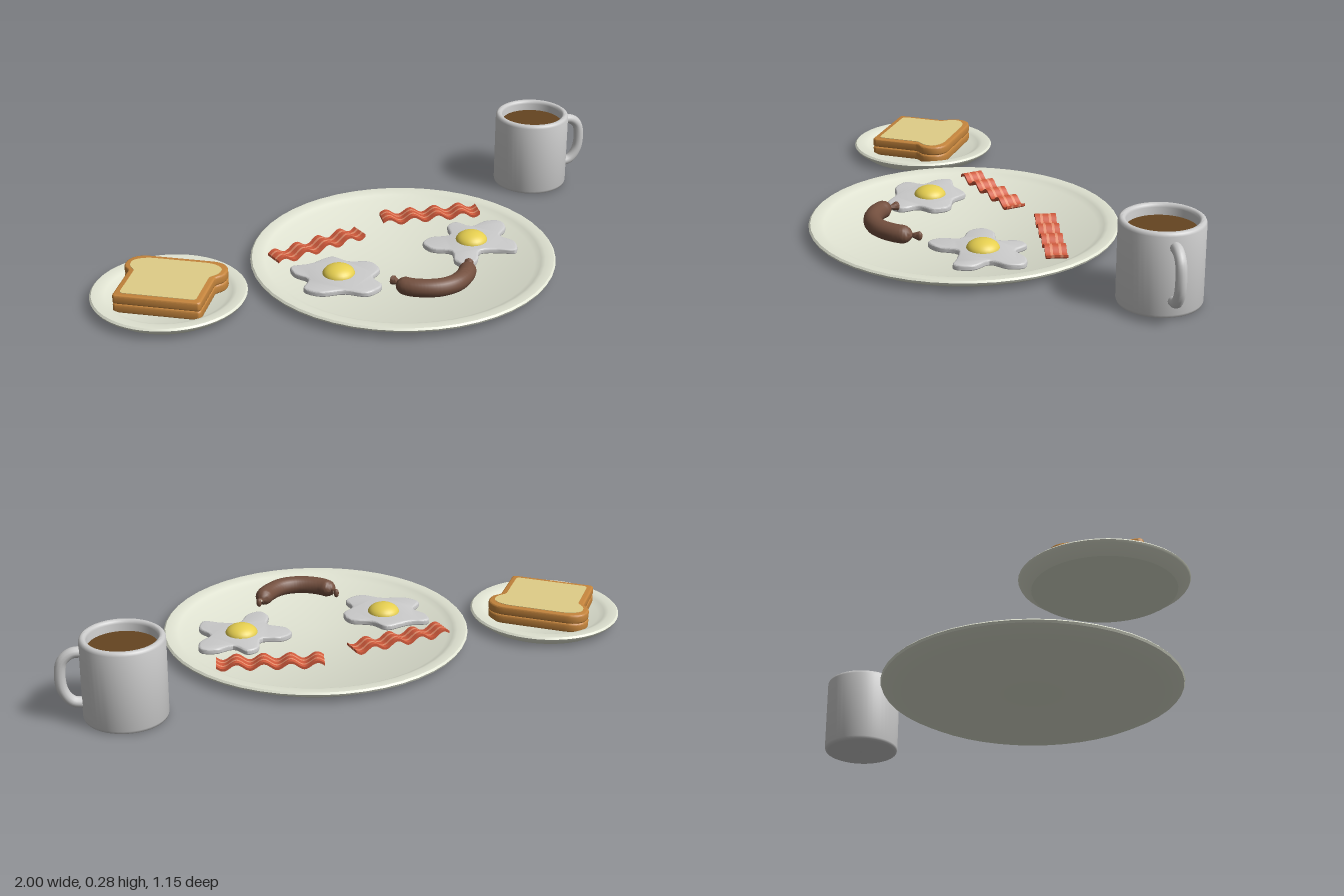
import * as THREE from 'three';
import { toCreasedNormals } from 'three/addons/utils/BufferGeometryUtils.js';

const V2 = (p) => new THREE.Vector2(p[0], p[1]);
const V3 = (p) => new THREE.Vector3(p[0], p[1], p[2]);
const mat = (color) => new THREE.MeshStandardMaterial({ color });
const grey = mat(0xcccccc), china = mat(0xe0e3d2), coffeeMat = mat(0x654420);
const crustMat = mat(0xc4843c), crumbMat = mat(0xe0cd88), yolkMat = mat(0xe6cf50);
const sausageMat = mat(0x74503f), baconMat = mat(0xd05a3c), fatMat = mat(0xe58e6c);

function add(parent, name, geometry, material, x = 0, y = 0, z = 0) {
  const mesh = new THREE.Mesh(geometry, material);
  mesh.name = name;
  mesh.position.set(x, y, z);
  parent.add(mesh);
  return mesh;
}

function group(parent, name, x = 0, y = 0, z = 0) {
  const g = new THREE.Group();
  g.name = name;
  g.position.set(x, y, z);
  parent.add(g);
  return g;
}

const lathe = (points, segments, crease = 0.6) =>
  toCreasedNormals(new THREE.LatheGeometry(points.map(V2), segments), crease);

// Flat slab lying in the xz plane, its outline given as (x, z)
function slab(shape, depth, bevel = 0) {
  const g = new THREE.ExtrudeGeometry(shape, {
    depth, bevelEnabled: bevel > 0, bevelThickness: bevel, bevelSize: bevel,
    bevelOffset: -bevel, bevelSegments: 3, curveSegments: 8
  });
  return toCreasedNormals(g.rotateX(Math.PI / 2), 0.7);
}

// Plate with a sloped underside and a raised rim
function plate(parent, name, r, foot, x, z) {
  const g = lathe([[0, 0], [r - foot, 0], [r - 0.004, 0.026], [r, 0.034], [r - 0.006, 0.04],
    [r - 0.035, 0.04], [r - 0.05, 0.034], [r - 0.07, 0.023], [0, 0.022]], 48);
  add(parent, name, g, china, x, 0, z);
}

function mug(parent) {
  const g = group(parent, 'mug', 0.783, 0, -0.441);
  add(g, 'mugBody', lathe([[0, 0], [0.124, 0], [0.133, 0.004], [0.136, 0.013], [0.136, 0.268],
    [0.133, 0.276], [0.127, 0.28], [0.12, 0.28], [0.114, 0.276], [0.112, 0.268], [0.112, 0.02], [0, 0.02]], 48, 0.9), grey);
  add(g, 'coffee', new THREE.CylinderGeometry(0.1125, 0.1125, 0.01, 48), coffeeMat, 0, 0.238, 0);
  const path = new THREE.CatmullRomCurve3([[0.122, 0.234, 0], [0.16, 0.232, 0], [0.189, 0.208, 0], [0.199, 0.16, 0],
    [0.192, 0.105, 0], [0.165, 0.068, 0], [0.122, 0.058, 0]].map(V3));
  add(g, 'mugHandle', new THREE.TubeGeometry(path, 32, 0.018, 12), grey);
}

// Bread slice outline with a bulging top, scaled inward for the crumb
function breadShape(inset) {
  const w = 0.15 - inset, b = 0.178 - inset, lo = 0.142 - inset, hi = 0.152 - inset;
  const s = new THREE.Shape();
  s.moveTo(-w + 0.015, lo);
  s.lineTo(w - 0.015, lo);
  s.quadraticCurveTo(w, lo, w, lo - 0.015);
  s.lineTo(w, -0.03);
  s.bezierCurveTo(w, -0.05, b, -0.05, b, -0.09);
  s.bezierCurveTo(b, -hi + 0.02, b - 0.03, -hi, b - 0.07, -hi);
  s.lineTo(-b + 0.07, -hi);
  s.bezierCurveTo(-b + 0.03, -hi, -b, -hi + 0.02, -b, -0.09);
  s.bezierCurveTo(-b, -0.05, -w, -0.05, -w, -0.03);
  s.lineTo(-w, lo - 0.015);
  s.quadraticCurveTo(-w, lo, -w + 0.015, lo);
  return s;
}

function toast(parent) {
  const g = group(parent, 'toast', -0.738, 0.022, 0.046);
  g.rotation.y = -Math.PI / 6;
  // Two bulging crust bands leave a shallow groove between them
  for (const y of [0.032, 0.064]) {
    add(g, 'crust', slab(breadShape(0), 0.02, 0.006), crustMat, 0, y - 0.006, 0);
  }
  add(g, 'crumb', slab(breadShape(0.02), 0.066), crumbMat, 0, 0.0655, 0);
}

// Fried egg: a wavy white with a domed yolk; outline is relative to the yolk
function egg(parent, name, x, z, outline) {
  const g = group(parent, name, x, 0.02, z);
  const curve = new THREE.CatmullRomCurve3(outline.map(([px, pz]) => new THREE.Vector3(px, pz, 0)), true);
  const shape = new THREE.Shape(curve.getPoints(72).slice(0, -1).map((p) => new THREE.Vector2(p.x, p.y)));
  add(g, 'eggWhite', slab(shape, 0.008, 0.007), grey, 0, 0.015, 0);
  const dome = new THREE.SphereGeometry(0.056, 28, 10, 0, Math.PI * 2, 0, Math.PI / 2);
  add(g, 'yolk', dome, yolkMat, 0, 0.018, 0).scale.y = 0.6;
}

// Wavy bacon strip made of alternating lean and fat bands
function bacon(parent, x, z, angle) {
  const g = group(parent, 'bacon', x, 0.039, z);
  g.rotation.y = angle;
  const widths = [0.017, 0.009, 0.02, 0.009, 0.017];
  let edge = -0.036;
  widths.forEach((w, i) => {
    const geo = new THREE.BoxGeometry(0.36, 0.009, w, 48, 1, 1);
    const p = geo.attributes.position;
    for (let k = 0; k < p.count; k++) {
      p.setY(k, p.getY(k) + 0.011 * Math.sin((p.getX(k) / 0.36) * Math.PI * 8));
    }
    geo.computeVertexNormals();
    add(g, i % 2 ? 'baconFat' : 'baconLean', geo, i % 2 ? fatMat : baconMat, 0, 0, edge + w / 2);
    edge += w;
  });
}

// Curved sausage: a tube whose rings are pinched and flared at both ends
function sausage(parent) {
  const path = new THREE.CatmullRomCurve3([[-0.022, 0.062, 0.254], [0.008, 0.062, 0.312], [0.06, 0.063, 0.345],
    [0.115, 0.063, 0.356], [0.17, 0.063, 0.343], [0.222, 0.062, 0.298], [0.264, 0.062, 0.222]].map(V3));
  const rings = 80, sides = 16, knot = 0.026, length = path.getLength();
  const geo = new THREE.TubeGeometry(path, rings, 1, sides);
  const p = geo.attributes.position, v = new THREE.Vector3();
  for (let i = 0; i <= rings; i++) {
    const t = i / rings, d = Math.min(t, 1 - t) * length, c = path.getPointAt(t);
    const u = Math.min(1, Math.max(0, (d - knot) / 0.035));
    const r = d < knot ? 0.007 + 0.009 * (1 - d / knot) : Math.max(0.007, 0.031 * Math.sqrt(1 - (1 - u) ** 2));
    for (let j = 0; j <= sides; j++) {
      const k = i * (sides + 1) + j;
      v.fromBufferAttribute(p, k).sub(c).multiplyScalar(r).add(c);
      p.setXYZ(k, v.x, v.y, v.z);
    }
  }
  add(parent, 'sausage', toCreasedNormals(geo, 1), sausageMat);
  // Closed tips
  for (const t of [0, 1]) {
    const c = path.getPointAt(t);
    add(parent, 'sausageTip', new THREE.SphereGeometry(0.016, 12, 8), sausageMat, c.x, c.y, c.z).scale.set(0.6, 1, 0.6);
  }
}

export function createModel() {
  const model = new THREE.Group();
  model.name = 'breakfast';
  plate(model, 'dinnerPlate', 0.529, 0.052, 0.091, 0.04);
  plate(model, 'sidePlate', 0.263, 0.04, -0.737, 0.039);
  mug(model);
  toast(model);
  egg(model, 'leftEgg', -0.166, 0.112, [[-0.14, -0.1], [-0.07, -0.1], [0.016, -0.125], [0.058, -0.075],
    [0.13, -0.045], [0.142, 0.015], [0.102, 0.06], [0.112, 0.125], [0.05, 0.16], [-0.02, 0.12],
    [-0.1, 0.108], [-0.143, 0.06], [-0.11, 0.005], [-0.143, -0.05]]);
  egg(model, 'rightEgg', 0.353, 0.027, [[0, -0.148], [0.04, -0.1], [0.105, -0.122], [0.155, -0.105],
    [0.152, -0.05], [0.108, 0], [0.14, 0.06], [0.118, 0.122], [0.065, 0.1], [0, 0.085], [-0.04, 0.15],
    [-0.088, 0.168], [-0.112, 0.125], [-0.098, 0.055], [-0.158, 0.015], [-0.17, -0.035], [-0.13, -0.065],
    [-0.06, -0.06], [-0.04, -0.13]]);
  bacon(model, -0.171, -0.115, 0.27);
  bacon(model, 0.289, -0.217, -0.12);
  sausage(model);
  return model;
}
